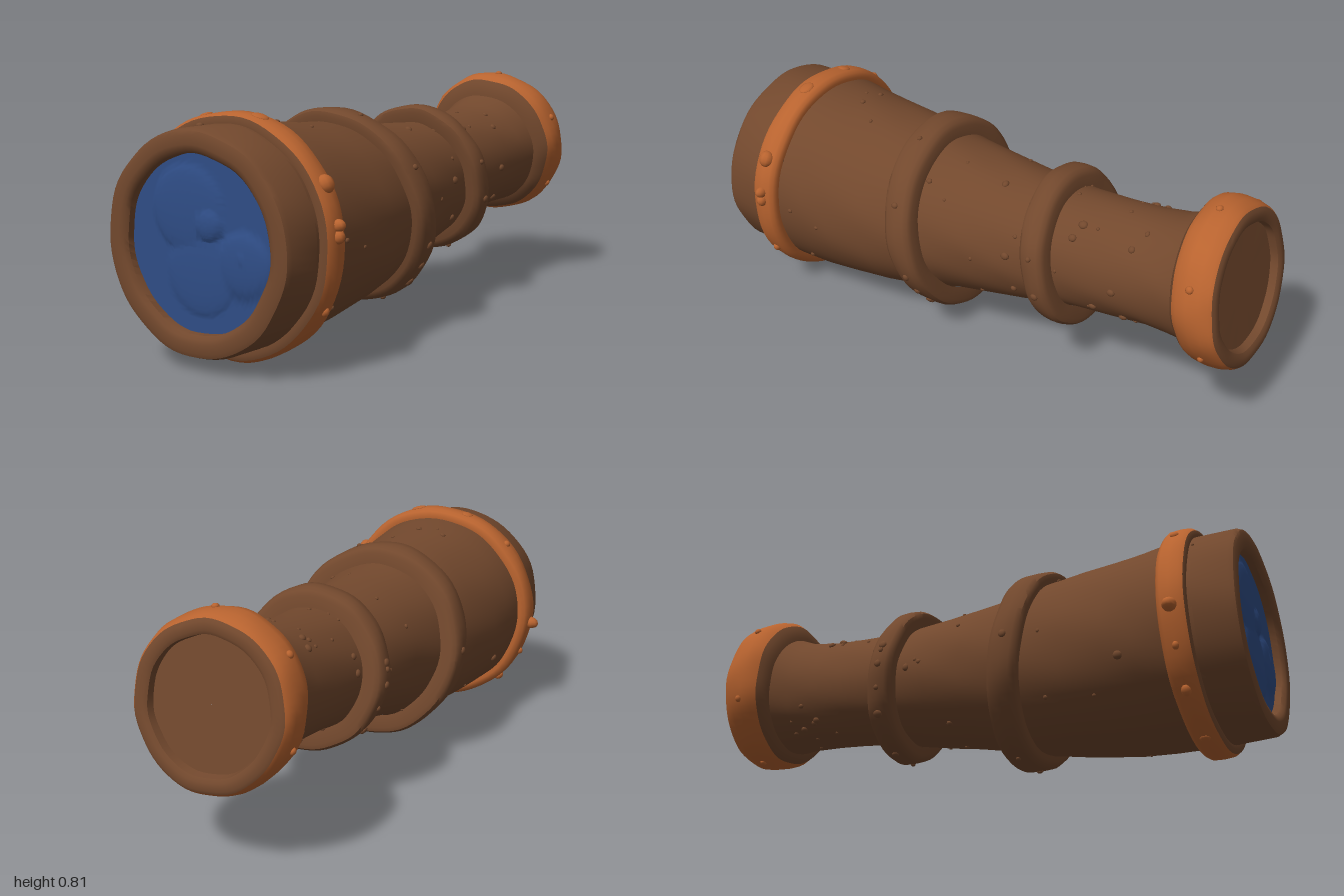
import * as THREE from 'three';
import { toCreasedNormals } from 'three/addons/utils/BufferGeometryUtils.js';

const mat = (name, color) => Object.assign(new THREE.MeshStandardMaterial({ color }), { name });

// small seeded random generator
let seed = 7;
const rnd = () => (seed = (seed * 16807) % 2147483647) / 2147483647;

// gentle hand-carved unevenness of the surface
const wobble = (a, z) =>
  0.0018 * Math.sin(3 * a + 7 * z) + 0.0016 * Math.sin(7 * a - 17 * z) + 0.0012 * Math.sin(11 * a + 29 * z);

// point on a tilted ring [z, centre y, radius, tilt]
const ringPoint = ([z, y, r, tilt = 0], a, rough = 1) => {
  const k = r + rough * wobble(a, z) * Math.min(1, r * 4);
  return [k * Math.cos(a), y + k * Math.sin(a), z + tilt * r * Math.sin(a)];
};

// skin running through a row of rings, from front to back
function loft(rows, crease = 0.7, n = 72) {
  const pos = [], idx = [];
  for (const row of rows)
    for (let j = 0; j < n; j++) pos.push(...ringPoint(row, (j / n) * Math.PI * 2));
  for (let i = 0; i < rows.length - 1; i++)
    for (let j = 0; j < n; j++) {
      const a = i * n + j, b = i * n + ((j + 1) % n);
      idx.push(a, a + n, b, b, a + n, b + n);
    }
  const g = new THREE.BufferGeometry();
  g.setAttribute('position', new THREE.Float32BufferAttribute(pos, 3));
  g.setIndex(idx);
  return toCreasedNormals(g, crease);
}

// rounded band round the tube
const band = (z, y, r, w, tilt, depth) => [
  [z + w * 0.46, y, r - depth, tilt], [z + w * 0.5, y, r - 0.025, tilt], [z + w * 0.44, y, r - 0.009, tilt],
  [z + w * 0.3, y, r, tilt], [z, y, r + 0.002, tilt], [z - w * 0.3, y, r, tilt],
  [z - w * 0.44, y, r - 0.009, tilt], [z - w * 0.5, y, r - 0.025, tilt], [z - w * 0.46, y, r - depth, tilt],
];

export function createModel() {
  seed = 7;
  const brown = mat('brown wood', 0x72482d);
  const copper = mat('copper', 0xb8632f);
  const blue = mat('blue glass', 0x2f4d86);

  const model = new THREE.Group();
  model.name = 'spyglass';
  const add = (name, geo, material, parent = model) => {
    const m = new THREE.Mesh(geo, material);
    m.name = name;
    parent.add(m);
    return m;
  };

  // front rim, with the lens recess
  add('frontRim', loft([
    [0.94, 0.393, 0.272], [0.985, 0.393, 0.274], [0.997, 0.393, 0.285], [1, 0.393, 0.3], [1, 0.393, 0.328],
    [0.995, 0.393, 0.341], [0.98, 0.394, 0.348], [0.84, 0.394, 0.351],
  ]), brown);

  // bent, tapering tube
  const tube = [
    [0.86, 0.394, 0.351], [0.76, 0.393, 0.35], [0.65, 0.39, 0.343, 0.03], [0.55, 0.389, 0.333, 0.08],
    [0.4, 0.394, 0.317, 0.15], [0.25, 0.405, 0.296, 0.2], [0.14, 0.412, 0.268, 0.2], [0, 0.422, 0.248, 0.2],
    [-0.13, 0.432, 0.23, 0.2], [-0.26, 0.442, 0.213, 0.2], [-0.36, 0.452, 0.201, 0.2],
    [-0.5, 0.465, 0.196, 0.18], [-0.62, 0.477, 0.195, 0.17], [-0.72, 0.487, 0.201, 0.16], [-0.82, 0.508, 0.222, 0.16],
  ];
  add('tube', loft(tube), brown);

  // bands
  const front = band(0.8, 0.391, 0.386, 0.1, 0, 0.045);
  add('frontBandSide', loft(front.slice(0, 3)), brown);
  add('frontBand', loft(front.slice(2)), copper);
  const middle = band(0.21, 0.405, 0.34, 0.11, 0.2, 0.07);
  add('middleBand', loft(middle), brown);
  const rear = band(-0.295, 0.445, 0.271, 0.092, 0.2, 0.07);
  add('rearBand', loft(rear), brown);

  // flared eyepiece
  const t = 0.16;
  add('eyepieceShoulder', loft([
    [-0.785, 0.5, 0.2, t], [-0.79, 0.505, 0.225, t], [-0.803, 0.512, 0.25, t], [-0.815, 0.517, 0.262, t],
  ]), brown);
  add('eyepieceRing', loft([
    [-0.815, 0.517, 0.262, t], [-0.835, 0.521, 0.274, t], [-0.87, 0.525, 0.279, t],
    [-0.91, 0.526, 0.276, t], [-0.94, 0.526, 0.268, t], [-0.95, 0.526, 0.26, t],
  ]), copper);
  add('eyepieceRim', loft([
    [-0.95, 0.526, 0.26, t], [-0.956, 0.526, 0.25, t], [-0.957, 0.526, 0.225, t],
    [-0.95, 0.526, 0.213, t], [-0.925, 0.526, 0.208, t], [-0.925, 0.526, 0.001, t],
  ]), brown);

  // lens, swelling into soft overlapping domes [x, y, radius, height]
  const domes = [
    [-0.05, 0.1, 0.135, 0.014], [0.03, 0.06, 0.055, 0.021], [0, -0.09, 0.13, 0.012],
    [0.16, -0.05, 0.1, 0.016], [0.16, -0.025, 0.016, 0.021],
  ];
  const lens = new THREE.RingGeometry(0.0005, 0.276, 72, 36);
  const p = lens.attributes.position;
  for (let i = 0; i < p.count; i++) {
    let h = 0;
    for (const [x, y, r, k] of domes) {
      const d = Math.hypot(p.getX(i) - x, p.getY(i) - y) / r;
      if (d < 1) h = Math.max(h, k * Math.sqrt(1 - d * d));
    }
    p.setZ(i, h);
  }
  add('lens', toCreasedNormals(lens, 1), blue).position.set(0, 0.393, 0.962);

  // pebbly lumps scattered over the surface
  const lumps = new THREE.Group();
  lumps.name = 'lumps';
  model.add(lumps);
  const pebble = new THREE.SphereGeometry(1, 10, 8);
  const lump = (row, a, size, out, material) => {
    const m = add('lump', pebble, material, lumps);
    m.position.set(...ringPoint(row, a));
    m.rotation.z = a;
    m.scale.set(out, size, size * (0.8 + 0.4 * rnd()));
  };
  for (let i = 0; i < 90; i++) {
    const s = rnd() * (tube.length - 2), k = Math.floor(s), f = s - k;
    const row = [0, 1, 2, 3].map((c) => THREE.MathUtils.lerp(tube[k][c] ?? 0, tube[k + 1][c] ?? 0, f));
    const size = 0.006 + 0.009 * rnd() ** 2;
    lump(row, rnd() * Math.PI * 2, size, size * 0.7, brown);
  }
  for (const row of [middle[4], rear[4]])
    for (let i = 0; i < 9; i++) lump(row, rnd() * Math.PI * 2, 0.009 + 0.006 * rnd(), 0.008, brown);
  for (let i = 0; i < 6; i++) lump([-0.88, 0.525, 0.279, t], i * 1.05 + 0.4, 0.013, 0.01, copper);

  // larger studs on the front band [x, y, size, reach]
  for (const [x, y, size, reach] of [
    [0.355, 0.59, 0.03, 0.025], [0.4, 0.465, 0.02, 0.028], [0.4, 0.43, 0.022, 0.022], [-0.4, 0.35, 0.023, 0.035],
    [0.345, 0.19, 0.016, 0.014], [-0.27, 0.105, 0.02, 0.016], [-0.355, 0.225, 0.014, 0.014],
    [-0.28, 0.66, 0.014, 0.012], [-0.09, 0.015, 0.016, 0.008], [0.1, 0.765, 0.03, 0.008], [-0.11, 0.76, 0.022, 0.008],
  ]) lump([0.8, 0.391, 0.386], Math.atan2(y - 0.391, x), size, reach, copper);

  return model;
}
